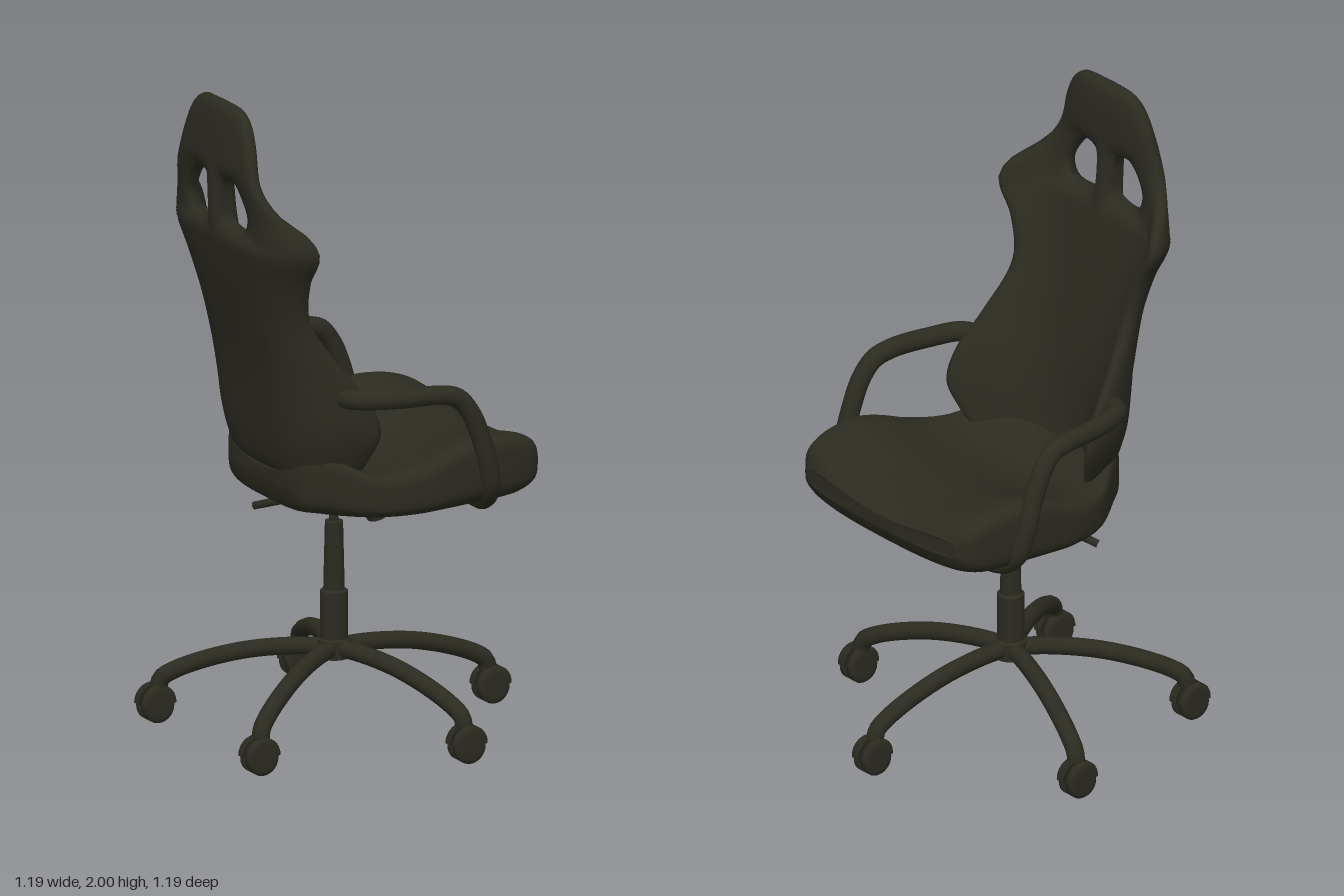
import * as THREE from 'three';
import { mergeVertices, mergeGeometries } from 'three/addons/utils/BufferGeometryUtils.js';

const darkFabric = new THREE.MeshStandardMaterial({ color: 0x2c2b21 });
darkFabric.name = 'darkOlive';

function add(parent, name, geo, pos = [0, 0, 0], rot = [0, 0, 0]) {
  const m = new THREE.Mesh(geo, darkFabric);
  m.name = name;
  m.position.set(...pos);
  m.rotation.set(...rot);
  parent.add(m);
  return m;
}

// Smooth interpolation of table rows [key, a, b, ...]
function sample(table, key) {
  const n = table.length;
  let i = 0;
  while (i < n - 2 && key > table[i + 1][0]) i++;
  const slope = (k, c) => {
    const a = table[Math.max(k - 1, 0)], b = table[Math.min(k + 1, n - 1)];
    return (b[c] - a[c]) / (b[0] - a[0]);
  };
  const d = table[i + 1][0] - table[i][0];
  const t = THREE.MathUtils.clamp((key - table[i][0]) / d, 0, 1), t2 = t * t, t3 = t2 * t;
  return table[i].slice(1).map((v, k) => {
    const c = k + 1;
    return v * (2 * t3 - 3 * t2 + 1) + slope(i, c) * d * (t3 - 2 * t2 + t)
      + table[i + 1][c] * (3 * t2 - 2 * t3) + slope(i + 1, c) * d * (t3 - t2);
  });
}

// Grid patch from a point function; faces look along (i direction) x (j direction)
function patch(point, m, n, flip = false) {
  const pos = [], idx = [];
  for (let j = 0; j <= n; j++) for (let i = 0; i <= m; i++) pos.push(...point(i, j));
  for (let j = 0; j < n; j++) for (let i = 0; i < m; i++) {
    const a = j * (m + 1) + i, b = a + 1, c = a + m + 1, d = c + 1;
    if (flip) idx.push(a, c, b, b, c, d);
    else idx.push(a, b, c, b, d, c);
  }
  const g = new THREE.BufferGeometry();
  g.setAttribute('position', new THREE.Float32BufferAttribute(pos, 3));
  g.setIndex(idx);
  return g;
}

function weld(list) {
  const g = mergeVertices(mergeGeometries(list), 1e-4);
  g.computeVertexNormals();
  return g;
}

// Bucket backrest: height, half width, centre depth, wing depth, half thickness, front hollow power
const BACK = [
  [0.82, 0.22, -0.21, -0.13, 0, 2.3], [0.85, 0.26, -0.222, -0.08, 0.024, 2.3], [0.92, 0.3, -0.238, -0.045, 0.032, 2.3],
  [1.0, 0.328, -0.25, -0.025, 0.034, 2.3], [1.1, 0.322, -0.263, -0.06, 0.036, 2.5], [1.2, 0.298, -0.28, -0.135, 0.038, 3],
  [1.35, 0.27, -0.315, -0.23, 0.042, 3.5], [1.48, 0.3, -0.348, -0.25, 0.044, 4], [1.58, 0.355, -0.37, -0.248, 0.044, 4.5],
  [1.64, 0.338, -0.378, -0.275, 0.042, 5], [1.7, 0.283, -0.383, -0.345, 0.04, 6], [1.78, 0.228, -0.386, -0.392, 0.038, 6],
  [1.9, 0.185, -0.38, -0.388, 0.036, 6], [1.96, 0.152, -0.378, -0.382, 0.03, 6], [1.99, 0.115, -0.378, -0.378, 0.018, 6],
  [2.0, 0.08, -0.378, -0.378, 0, 6],
];

function backPoint(s, y, side) {
  const [w, c, t, T, hollow] = sample(BACK, y);
  const p = side > 0 ? hollow : 6;
  const a = s * Math.PI / 2, u = Math.sin(a);
  const slope = p * (t - c) * Math.sign(u) * Math.abs(u) ** (p - 1) / w;
  const h = side * T * Math.pow(Math.max(Math.cos(a), 0), 0.6) / Math.hypot(slope, 1);
  return [w * u - h * slope, y, c + (t - c) * Math.abs(u) ** p + h];
}

function backrestGeometry() {
  const N = 10, y0 = 1.56, y1 = 1.84, thinning = 0.6, parts = [];
  const lerp = THREE.MathUtils.lerp;
  // Outline of one belt opening, counter-clockwise from its lower inner corner
  const hole = new THREE.CatmullRomCurve3([
    [0.042, 1.638], [0.095, 1.622], [0.155, 1.632], [0.174, 1.675],
    [0.142, 1.738], [0.095, 1.775], [0.05, 1.76], [0.035, 1.7],
  ].map(([x, y]) => new THREE.Vector3(x, y, 0)), true);
  const ring = (k, f) => {
    const e = Math.floor(k / N) % 4, r = (k % N) / N;
    const [s, v] = [[r, 0], [1, r], [1 - r, 1], [0, 1 - r]][e];
    const p = hole.getPoint((k % (4 * N)) / (4 * N));
    const hs = Math.asin(p.x / sample(BACK, p.y)[0]) * 2 / Math.PI;
    return [lerp(s, hs, f), lerp(lerp(y0, y1, v), p.y, f)];
  };
  for (const side of [1, -1]) {
    // Plain panels below and above the openings
    for (const [a, b, rows] of [[0.82, y0, 36], [y1, 2, 20]])
      parts.push(patch((i, j) => backPoint(i / N - 1, lerp(a, b, j / rows), side), 2 * N, rows, side < 0));
    // Panels running round each opening, padding thinner towards it
    for (const m of [1, -1])
      parts.push(patch((i, j) => {
        const [s, y] = ring(i, j / 8);
        return backPoint(m * s, y, side * (1 - thinning * (j / 8) ** 3));
      }, 4 * N, 8, side * m < 0));
  }
  // Inner walls of the openings
  for (const m of [1, -1])
    parts.push(patch((i, j) => {
      const [s, y] = ring(i, 1);
      return backPoint(m * s, y, (1 - 2 * j) * (1 - thinning));
    }, 4 * N, 1, m < 0));
  return weld(parts);
}

// Seat cushion: depth position, half width, underside, bolster top
const SEAT = [
  [-0.25, 0.17, 0.8, 0.87], [-0.235, 0.22, 0.75, 0.91], [-0.17, 0.28, 0.73, 0.925], [-0.05, 0.365, 0.722, 0.875],
  [0.08, 0.405, 0.72, 0.89], [0.19, 0.412, 0.72, 0.93], [0.28, 0.412, 0.722, 0.953], [0.37, 0.407, 0.725, 0.952],
  [0.44, 0.398, 0.735, 0.938], [0.495, 0.38, 0.765, 0.91], [0.52, 0.345, 0.81, 0.87],
];

function seatGeometry() {
  const M = 72, R = 44;
  const pow = (v, e) => Math.sign(v) * Math.abs(v) ** e;
  return weld([patch((i, j) => {
    const f = THREE.MathUtils.clamp((j - 1) / (R - 2), 0, 1);
    const z = THREE.MathUtils.lerp(-0.25, 0.52, (1 - Math.cos(f * Math.PI)) / 2);
    const [w, lo, hi] = sample(SEAT, z);
    const mid = (lo + hi) / 2, h = (hi - lo) / 2;
    if (j === 0 || j === R) return [0, mid, z + (j ? 0.002 : -0.005)];
    const a = (i % M) / M * Math.PI * 2, top = Math.sin(a) > 0;
    const x = pow(Math.cos(a), 0.55), y = pow(Math.sin(a), top ? 0.4 : 0.55);
    // Raised side bolsters around a dished centre, front edge bowed outwards
    const lift = top ? 1.43 * (1 - 0.68 * (1 - x * x)) : 1;
    return [w * x, mid + h * y * lift, z - 0.04 * x * x * Math.max(z, 0)];
  }, M, R)]);
}

function tube(points, radius, segments = 40) {
  const curve = new THREE.CatmullRomCurve3(points.map(p => new THREE.Vector3(...p)));
  return new THREE.TubeGeometry(curve, segments, radius, 12);
}

export function createModel() {
  const root = new THREE.Group();
  root.name = 'officeChair';
  root.position.set(-0.015, 0, 0.015);
  root.rotation.y = 2.335;

  add(root, 'backrest', backrestGeometry());
  add(root, 'seat', seatGeometry());

  // Looped armrests that tuck beneath the seat
  for (const m of [1, -1])
    add(root, m > 0 ? 'leftArmrest' : 'rightArmrest', tube([
      [0.29, 1.115, -0.14], [0.355, 1.12, -0.115], [0.395, 1.118, 0], [0.41, 1.116, 0.12], [0.413, 1.1, 0.185],
      [0.418, 1.05, 0.228], [0.42, 0.97, 0.262], [0.42, 0.88, 0.288], [0.402, 0.8, 0.305], [0.345, 0.75, 0.315],
      [0.25, 0.738, 0.325],
    ].map(([x, y, z]) => [m * x, y, z]), 0.03, 60));

  // Tilt mechanism under the seat
  const plate = new THREE.CylinderGeometry(0.2, 0.06, 0.05, 4, 1).rotateY(Math.PI / 4);
  add(root, 'mechanismPlate', plate.toNonIndexed(), [0, 0.705, 0]).geometry.computeVertexNormals();
  add(root, 'tensionKnob', new THREE.CylinderGeometry(0.032, 0.036, 0.11, 20), [0, 0.685, 0.13], [-0.4, 0, 0]);
  add(root, 'heightLever', tube([[0.03, 0.705, 0], [0.13, 0.685, -0.06], [0.2, 0.66, -0.1]], 0.008, 12));
  add(root, 'leverGrip', tube([[0.17, 0.67, -0.085], [0.25, 0.64, -0.13]], 0.012, 4));

  // Telescopic gas column
  add(root, 'column', new THREE.LatheGeometry([
    [0, 0.22], [0.05, 0.22], [0.05, 0.275], [0.041, 0.28], [0.041, 0.425], [0.032, 0.43],
    [0.027, 0.64], [0.014, 0.642], [0.014, 0.72],
  ].map(p => new THREE.Vector2(...p)), 28).toNonIndexed()).geometry.computeVertexNormals();

  // Castor wheel and its larger half hood, chamfered on the outer side
  const wheel = [[0, 0], [0.051, 0], [0.051, 0.019], [0.046, 0.026], [0.034, 0.028], [0, 0.028]]
    .map(p => new THREE.Vector2(...p));
  const wheelGeo = new THREE.LatheGeometry(wheel, 28);
  const hoodGeo = new THREE.LatheGeometry(wheel.map(p => new THREE.Vector2(p.x * 1.13, p.y * 1.13)), 20, 0, Math.PI);

  // Five-spoke base with twin-wheel castors
  for (let k = 0; k < 5; k++) {
    const a = k * Math.PI * 2 / 5, sx = Math.sin(a), cz = Math.cos(a);
    const spoke = [[0, 0.25], [0.12, 0.249], [0.26, 0.232], [0.39, 0.197], [0.48, 0.16], [0.515, 0.135], [0.525, 0.1]];
    add(root, 'baseSpoke', tube(spoke.map(([r, y]) => [r * sx, y, r * cz]), 0.027));
    const castor = new THREE.Group();
    castor.name = 'castor';
    castor.position.set(0.533 * sx, 0, 0.533 * cz);
    root.add(castor);
    add(castor, 'axle', new THREE.CylinderGeometry(0.03, 0.03, 0.03, 16), [0, 0.06, 0], [0, 0, Math.PI / 2]);
    for (const m of [1, -1]) {
      const half = new THREE.Group();
      half.name = 'wheelHalf';
      half.rotation.y = m > 0 ? 0 : Math.PI;
      castor.add(half);
      add(half, 'wheel', wheelGeo, [0.006, 0.052, 0], [0, 0, -Math.PI / 2]);
      add(half, 'wheelHood', hoodGeo, [0.004, 0.06, 0], [0, Math.PI, Math.PI / 2]);
    }
  }
  return root;
}
